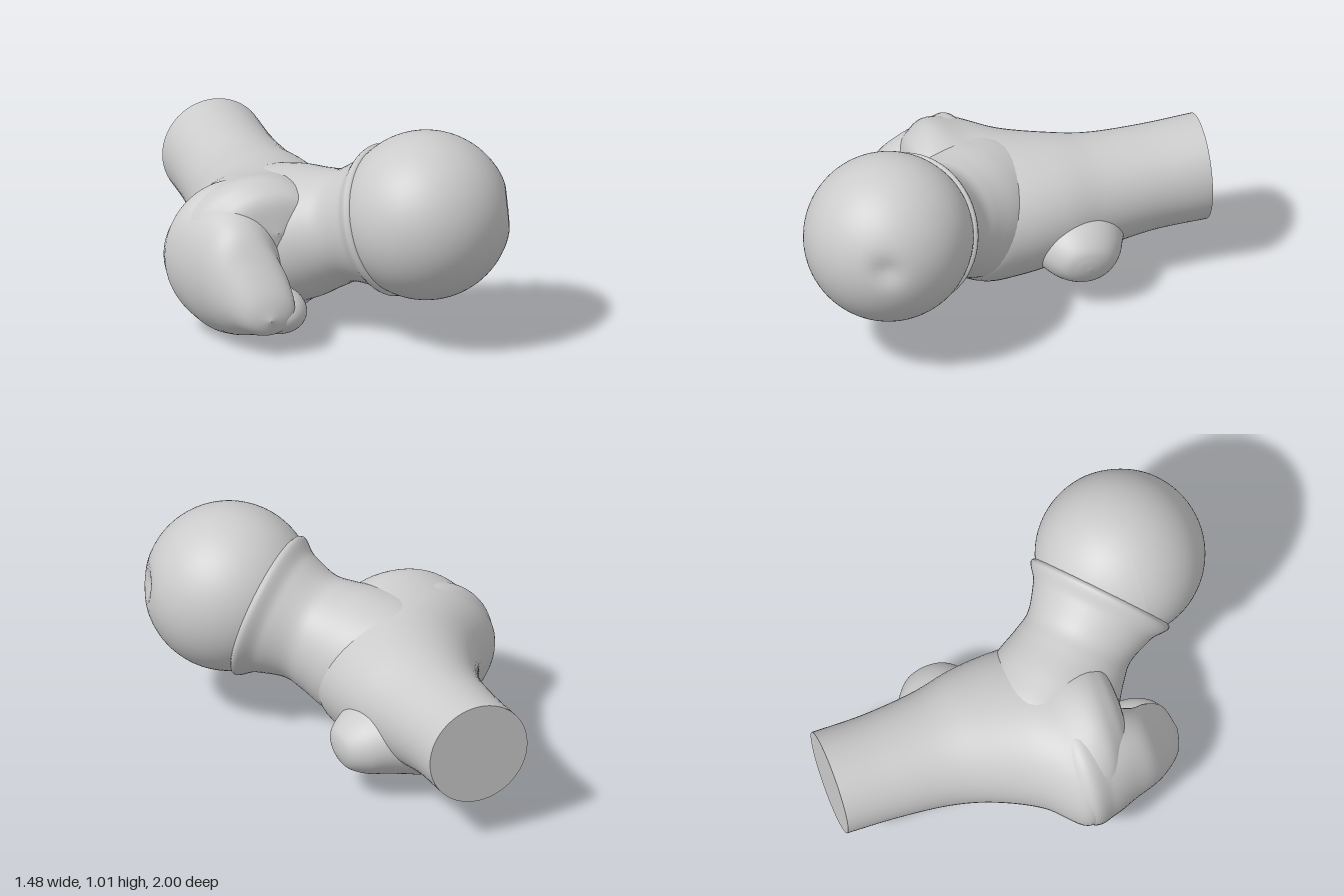
import * as THREE from 'three';

const material = new THREE.MeshStandardMaterial({ color: 0xcccccc });
const UP = new THREE.Vector3(0, 1, 0);

function addPart(group, name, geometry) {
  const mesh = new THREE.Mesh(geometry, material);
  mesh.name = name;
  group.add(mesh);
  return mesh;
}

// Smooth skin over elliptical sections [z, centreX, centreY, radiusX, radiusY], back to front
function loft(sections, rings = 72, sides = 56) {
  const centres = new THREE.CatmullRomCurve3(
    sections.map(([z, x, y]) => new THREE.Vector3(x, y, z)), false, 'catmullrom');
  const radii = new THREE.CatmullRomCurve3(
    sections.map(([, , , rx, ry]) => new THREE.Vector3(rx, ry, 0)), false, 'catmullrom');
  const positions = [], indices = [];
  for (let i = 0; i <= rings; i++) {
    const c = centres.getPoint(i / rings);
    const r = radii.getPoint(i / rings);
    for (let j = 0; j < sides; j++) {
      const a = (j / sides) * Math.PI * 2;
      positions.push(c.x + Math.cos(a) * r.x, c.y + Math.sin(a) * r.y, c.z);
    }
  }
  for (let i = 0; i < rings; i++) {
    for (let j = 0; j < sides; j++) {
      const k = (j + 1) % sides;
      const a = i * sides + j, b = i * sides + k;
      indices.push(a, b, a + sides, b, b + sides, a + sides);
    }
  }
  const geometry = new THREE.BufferGeometry();
  geometry.setAttribute('position', new THREE.Float32BufferAttribute(positions, 3));
  geometry.setIndex(indices);
  geometry.computeVertexNormals();
  return geometry;
}

// Turned form along the line from one point towards another, profile as [radius, distance]
function addTurned(group, name, from, to, profile) {
  const points = new THREE.SplineCurve(profile.map(([r, h]) => new THREE.Vector2(r, h))).getPoints(56);
  points.forEach((p) => { p.x = Math.max(p.x, 0.001); });
  const mesh = addPart(group, name, new THREE.LatheGeometry(points, 56));
  mesh.position.copy(from);
  mesh.quaternion.setFromUnitVectors(UP, to.clone().sub(from).normalize());
  return mesh;
}

export function createModel() {
  const model = new THREE.Group();
  model.name = 'thighBoneUpperEnd';

  // Shaft widening into the body, ending in a ledge above the hollow
  addPart(model, 'shaft', loft([
    [-1.0, -0.165, 0.445, 0.245, 0.245],
    [-0.75, -0.165, 0.425, 0.25, 0.242],
    [-0.5, -0.16, 0.4, 0.275, 0.262],
    [-0.3, -0.165, 0.39, 0.325, 0.292],
    [-0.1, -0.205, 0.375, 0.385, 0.325],
    [0.06, -0.285, 0.365, 0.45, 0.352],
    [0.2, -0.32, 0.395, 0.365, 0.35],
    [0.28, -0.3, 0.45, 0.3, 0.27],
    [0.34, -0.28, 0.5, 0.21, 0.16],
    [0.37, -0.28, 0.52, 0.001, 0.001],
  ]));

  // Flat cut closing the far end of the shaft
  const cut = addPart(model, 'shaftEnd', new THREE.CircleGeometry(0.245, 56));
  cut.position.set(-0.165, 0.445, -1);
  cut.rotation.y = Math.PI;

  // Large outer knob, bulging forward
  addPart(model, 'greaterTrochanter', loft([
    [-0.05, -0.38, 0.37, 0.2, 0.2],
    [0.08, -0.42, 0.37, 0.315, 0.33],
    [0.2, -0.43, 0.34, 0.282, 0.335],
    [0.32, -0.455, 0.33, 0.21, 0.295],
    [0.42, -0.455, 0.31, 0.175, 0.245],
    [0.5, -0.42, 0.265, 0.16, 0.175],
    [0.58, -0.385, 0.21, 0.11, 0.095],
    [0.615, -0.39, 0.19, 0.001, 0.001],
  ]));

  // Low hook curling in from the knob
  const hook = new THREE.SphereGeometry(1, 40, 28);
  hook.scale(0.135, 0.105, 0.18);
  addPart(model, 'trochanterHook', hook).position.set(-0.305, 0.175, 0.415);

  // Small inner knob on a spreading base
  addTurned(model, 'lesserTrochanter',
    new THREE.Vector3(-0.1, 0.3, -0.36), new THREE.Vector3(0.27, 0.235, -0.37),
    [[0.26, -0.05], [0.21, 0.08], [0.17, 0.18], [0.138, 0.27], [0.095, 0.335], [0.05, 0.36], [0.001, 0.368]],
  ).scale.z = 1.25;

  // Waisted neck running from the body to the head
  const headCentre = new THREE.Vector3(0.35, 0.628, 0.61);
  addTurned(model, 'neck', new THREE.Vector3(-0.2, 0.38, 0), headCentre,
    [[0.001, -0.12], [0.2, -0.1], [0.315, 0], [0.312, 0.18], [0.275, 0.34],
      [0.262, 0.44], [0.3, 0.57], [0.335, 0.67], [0.001, 0.7]]);

  // Ball head with a shallow pit on its inner side
  const head = new THREE.SphereGeometry(0.39, 72, 48);
  const pit = new THREE.Vector3(0.95, 0.1, 0.28).normalize();
  const p = new THREE.Vector3();
  const spots = head.attributes.position;
  for (let i = 0; i < spots.count; i++) {
    p.fromBufferAttribute(spots, i);
    const angle = p.angleTo(pit);
    p.multiplyScalar(1 - 0.08 * Math.exp(-((angle / 0.17) ** 2)));
    spots.setXYZ(i, p.x, p.y, p.z);
  }
  head.computeVertexNormals();
  addPart(model, 'head', head).position.copy(headCentre);

  return model;
}
